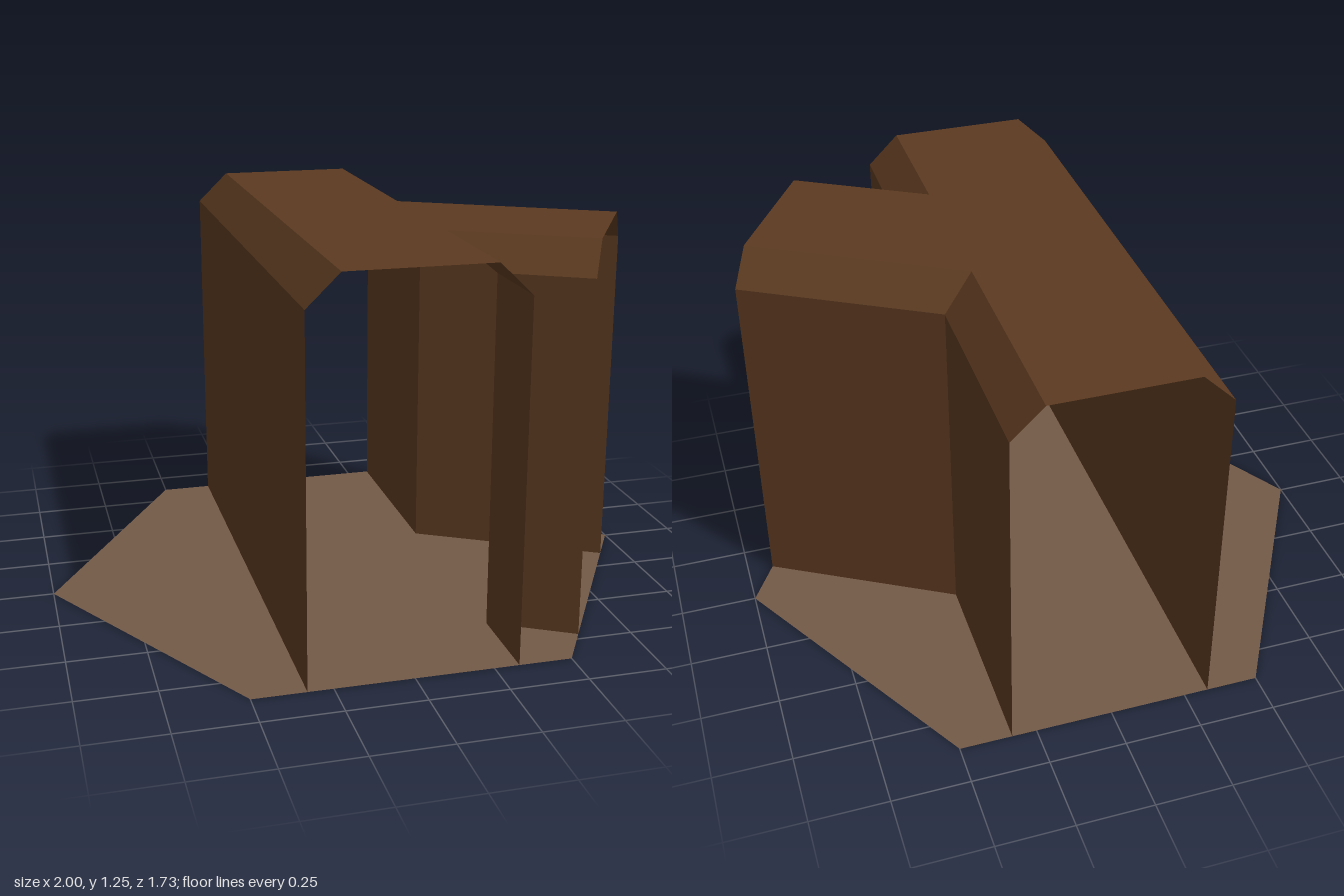
import * as THREE from 'three';

const H = Math.sqrt(3) / 2;   // half depth of the hexagon
const WALL = 0.33;            // half width of a passage at its walls
const ROOF = 0.227;           // half width of the flat roof
const EAVE = 1.15, TOP = 1.25;

// Plan lines [x, z] of each side at half width w, ordered so faces point outward
const sides = {
  leftSide: w => [[-w, -H], [-w, H]],
  backRightSide: w => [[0.75 + w / 2, H / 2 - w * H], [w, -w / Math.sqrt(3)], [w, -H]],
  frontRightSide: w => [[w, H], [w, w * Math.sqrt(3)], [0.75 - w / 2, H / 2 + w * H]],
};

// Strip of flat quads between two plan lines at two heights
function strip(lower, y0, upper, y1, material, name) {
  const pos = [];
  for (let i = 0; i < lower.length - 1; i++) {
    const a = [lower[i][0], y0, lower[i][1]];
    const b = [lower[i + 1][0], y0, lower[i + 1][1]];
    const c = [upper[i + 1][0], y1, upper[i + 1][1]];
    const d = [upper[i][0], y1, upper[i][1]];
    pos.push(...a, ...b, ...c, ...a, ...c, ...d);
  }
  const geo = new THREE.BufferGeometry();
  geo.setAttribute('position', new THREE.Float32BufferAttribute(pos, 3));
  geo.computeVertexNormals();
  const mesh = new THREE.Mesh(geo, material);
  mesh.name = name;
  return mesh;
}

export function createModel() {
  const group = new THREE.Group();
  group.name = 'forkedPassageTile';
  const brown = new THREE.MeshStandardMaterial({ color: 0x5c3a20, side: THREE.DoubleSide });
  brown.name = 'dark brown';
  const earth = new THREE.MeshStandardMaterial({ color: 0x745a48, side: THREE.DoubleSide });
  earth.name = 'light earth brown';

  // Hexagonal floor
  const floor = new THREE.Mesh(new THREE.CircleGeometry(1, 6).rotateX(-Math.PI / 2), earth);
  floor.name = 'floor';
  group.add(floor);

  // Walls and sloping eaves; the passage ends stay open
  for (const [name, line] of Object.entries(sides)) {
    group.add(strip(line(WALL), 0, line(WALL), EAVE, brown, name + 'Wall'));
    group.add(strip(line(WALL), EAVE, line(ROOF), TOP, brown, name + 'Eave'));
  }

  // Flat roof over the main passage and its branch
  const outline = [
    ...sides.leftSide(ROOF),
    ...sides.frontRightSide(ROOF),
    ...sides.backRightSide(ROOF),
  ].map(([x, z]) => new THREE.Vector2(x, -z));
  const roofGeo = new THREE.ShapeGeometry(new THREE.Shape(outline));
  roofGeo.rotateX(-Math.PI / 2).translate(0, TOP, 0);
  const roof = new THREE.Mesh(roofGeo, brown);
  roof.name = 'roof';
  group.add(roof);

  return group;
}
